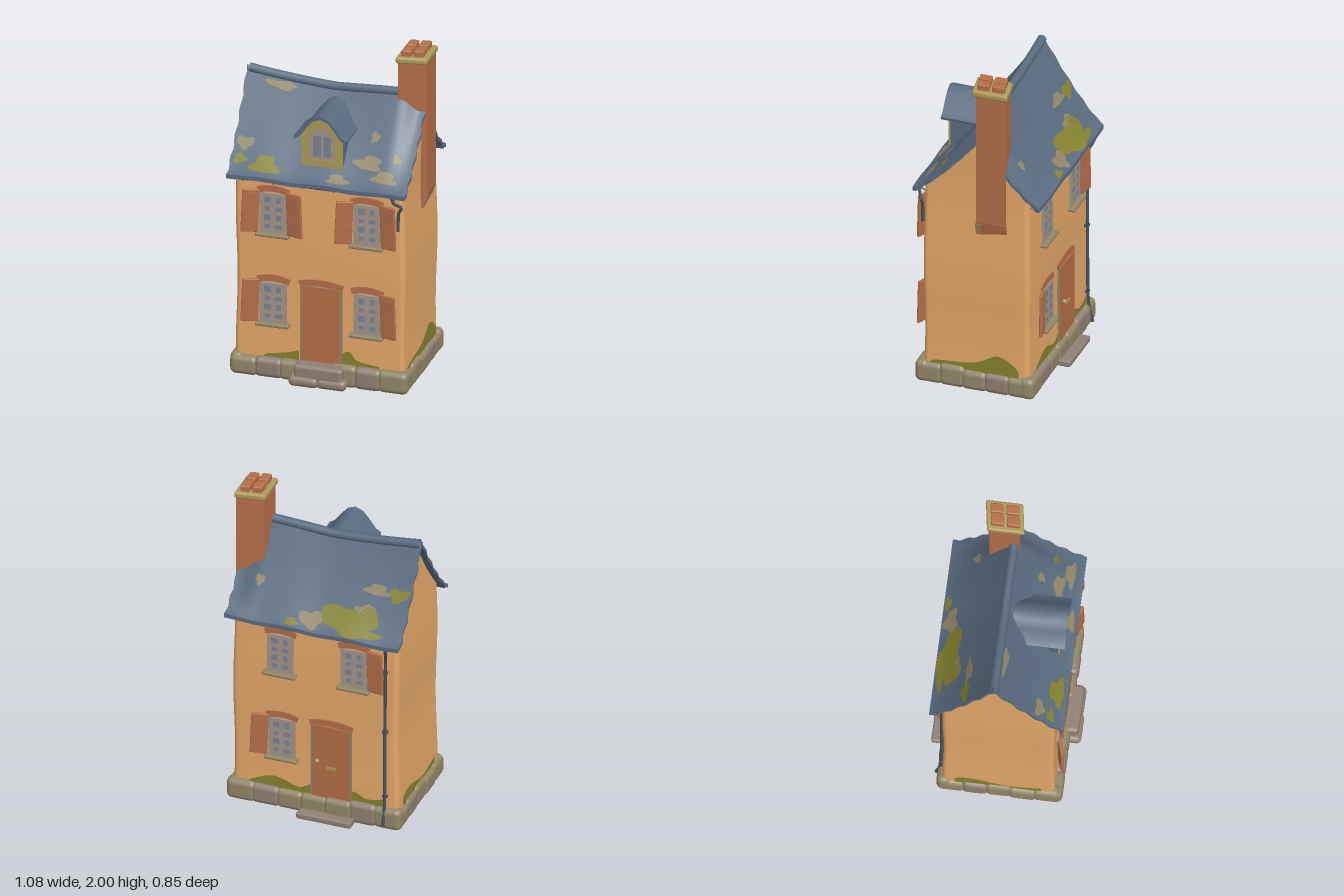
import * as THREE from 'three';
import { toCreasedNormals } from 'three/addons/utils/BufferGeometryUtils.js';
import { RoundedBoxGeometry } from 'three/addons/geometries/RoundedBoxGeometry.js';

const mat = (name, color) => Object.assign(new THREE.MeshStandardMaterial({ color, side: THREE.DoubleSide }), { name });
const M = {
  plaster: mat('plaster', 0xe4a768), slate: mat('slate', 0x5a6c80), terracotta: mat('terracotta', 0xb46e48),
  stone: mat('stone', 0x8f8073), moss: mat('moss', 0x85822f), lichen: mat('lichen', 0x918667),
  frame: mat('frame', 0xa2958a), glass: mat('glass', 0x7a8592), iron: mat('iron', 0x46525f),
  ochre: mat('ochre', 0xad9a58),
};

function add(parent, name, geo, material, x = 0, y = 0, z = 0) {
  const m = new THREE.Mesh(geo, material);
  m.name = name;
  m.position.set(x, y, z);
  parent.add(m);
  return m;
}
const box = (w, h, d) => new THREE.BoxGeometry(w, h, d);
const rbox = (w, h, d, r = 0.01) => new RoundedBoxGeometry(w, h, d, 3, r);
const tube = (pts, r, n = 24) => new THREE.TubeGeometry(
  new THREE.CatmullRomCurve3(pts.map(p => new THREE.Vector3(...p)), false, 'catmullrom', 0.2), n, r, 8);
const extrude = (shape, depth) => new THREE.ExtrudeGeometry(shape, { depth, bevelEnabled: false, curveSegments: 16 });

// Surface through rings of equal length; closed joins each ring, caps pairs its two halves
function loft(rings, closed, caps) {
  const n = rings[0].length, idx = [], last = (rings.length - 1) * n;
  for (let i = 0; i < rings.length - 1; i++)
    for (let j = 0; j < (closed ? n : n - 1); j++) {
      const a = i * n + j, d = i * n + (j + 1) % n;
      idx.push(a, a + n, d + n, a, d + n, d);
    }
  if (caps) for (let k = 0; k < n / 2 - 1; k++) {
    const q = [k, n - 1 - k, n - 2 - k, k + 1];
    idx.push(q[0], q[2], q[1], q[0], q[3], q[2]);
    idx.push(...[q[0], q[1], q[2], q[0], q[2], q[3]].map(v => v + last));
  }
  const g = new THREE.BufferGeometry();
  g.setAttribute('position', new THREE.Float32BufferAttribute(rings.flat(2), 3));
  g.setIndex(idx);
  g.computeVertexNormals();
  return g;
}

// Sagging roof: u runs from ridge (0) to eave (1)
const smooth = (a, b, x) => THREE.MathUtils.smoothstep(x, a, b);
const ridge = x => 1.722 + 0.048 * Math.pow(Math.max(0, -x / 0.53), 1.5)
  + 0.02 * smooth(0, 0.36, x) - 0.1 * smooth(0.38, 0.5, x);
function roofPoint(x, u, side, lift = 0) {
  const end = smooth(0.47, 0.53, Math.abs(x)) * 0.005 * Math.sin(u * 28 + side);
  return [x + end, 1.26 + (ridge(x) - 1.26) * Math.pow(1 - u, 1.25) + 0.004 * Math.sin(x * 17 + side) * u + lift,
    -0.03 + side * u * (side > 0 ? 0.4 : 0.37)];
}
function roof(g) {
  const rings = [], N = 24;
  for (let i = 0; i <= 48; i++) {
    const x = -0.538 + 1.062 * i / 48, top = [], under = [];
    for (let j = -N; j <= N; j++) {
      const s = j < 0 ? 1 : -1;
      top.push(roofPoint(x, Math.abs(j) / N, s));
      under.unshift(roofPoint(x, Math.abs(j) / N, s, -0.025));
    }
    rings.push([...top, ...under]);
  }
  add(g, 'roof', toCreasedNormals(loft(rings, true, true), 0.8), M.slate);
  const ridgeRun = xs => tube(xs.map(x => [x, ridge(x) - 0.014, -0.03]), 0.027, 32);
  add(g, 'ridgeTiles', ridgeRun([-0.3, -0.15, 0, 0.2, 0.38]), M.slate);
  add(g, 'weatheredRidgeTiles', ridgeRun([-0.525, -0.45, -0.38, -0.3]), M.slate);
  // irregular growth lying on the slopes: material, side, x, u, rx, ru
  [['moss', 1, -0.33, 0.85, 0.08, 0.1], ['moss', 1, -0.48, 0.8, 0.035, 0.05], ['moss', 1, 0.43, 0.6, 0.025, 0.04],
    ['lichen', 1, -0.47, 0.64, 0.05, 0.06], ['lichen', 1, -0.32, 0.1, 0.09, 0.035], ['lichen', 1, 0.27, 0.68, 0.08, 0.07],
    ['lichen', 1, 0.38, 0.82, 0.07, 0.07], ['lichen', 1, 0.11, 0.9, 0.06, 0.06], ['lichen', 1, 0.28, 0.43, 0.025, 0.05],
    ['moss', -1, -0.21, 0.79, 0.17, 0.17], ['moss', -1, -0.46, 0.47, 0.06, 0.06], ['moss', -1, -0.3, 0.9, 0.1, 0.07],
    ['moss', -1, 0.13, 0.93, 0.04, 0.05], ['lichen', -1, -0.33, 0.45, 0.07, 0.05], ['lichen', -1, -0.29, 0.66, 0.06, 0.06],
    ['lichen', -1, 0.02, 0.85, 0.07, 0.1], ['lichen', -1, 0.37, 0.56, 0.028, 0.05],
  ].forEach(([m, side, cx, cu, rx, ru], k) => {
    const blob = [];
    for (let i = 0; i <= 6; i++) blob.push(Array.from({ length: 28 }, (_, j) => {
      const a = j / 28 * Math.PI * 2, r = i / 6 * (1 + 0.2 * Math.sin(3 * a + k) + 0.12 * Math.sin(5 * a + 2 * k));
      return roofPoint(cx + rx * r * Math.cos(a), THREE.MathUtils.clamp(cu + ru * r * Math.sin(a), 0, 0.995), side, 0.005);
    }));
    add(g, m + 'Patch', loft(blob, true), M[m]);
  });
}

// Softly uneven plaster shell, open below, rising to the gables
function walls(g) {
  const rings = [], plan = [], r = 0.03, X = 0.503, F = 0.312, B = -0.328;
  const corner = (cx, cz, a0) => { for (let k = 0; k <= 6; k++) {
    const a = a0 + k / 6 * Math.PI / 2; plan.push([cx + r * Math.cos(a), cz + r * Math.sin(a)]); } };
  const run = (x0, z0, x1, z1) => { for (let k = 1; k < 16; k++) plan.push([x0 + (x1 - x0) * k / 16, z0 + (z1 - z0) * k / 16]); };
  run(X, B + r, X, F - r); corner(X - r, F - r, 0);
  run(X - r, F, -X + r, F); corner(-X + r, F - r, Math.PI / 2);
  run(-X, F - r, -X, B + r); corner(-X + r, B + r, Math.PI);
  run(-X + r, B, X - r, B); corner(X - r, B + r, Math.PI * 1.5);
  for (let i = 0; i <= 24; i++) rings.push(plan.map(([x, z]) => {
    const s = z > -0.03 ? 1 : -1, u = (z + 0.03) * s / (s > 0 ? 0.4 : 0.37);
    const y = 0.08 + (roofPoint(x, u, s, -0.012)[1] - 0.08) * i / 24;
    const k = 1 + 0.009 * Math.sin(y * 7 + 1.5 + x * 2);
    return [x * k, y, z * k];
  }));
  add(g, 'walls', loft(rings, true), M.plaster);
}

// Flat segmental arch over an opening
function lintel(f, x, y, w) {
  const s = new THREE.Shape();
  s.moveTo(-w / 2, 0); s.quadraticCurveTo(0, 0.03, w / 2, 0); s.lineTo(w / 2 + 0.01, 0.035);
  s.quadraticCurveTo(0, 0.072, -w / 2 - 0.01, 0.035);
  add(f, 'lintel', extrude(s, 0.022), M.terracotta, x, y, -0.014);
}
function shutter(f, x, y, h, side, open) {
  const p = new THREE.Group();
  p.name = 'shutter';
  p.position.set(x, y, 0.012);
  p.rotation.set(0, -side * open, side * 0.04);
  add(p, 'shutterBoard', rbox(0.1, h, 0.018, 0.005), M.terracotta, side * 0.05);
  for (const k of [-1, 1]) add(p, 'shutterPanel', box(0.065, h * 0.4, 0.008), M.terracotta, side * 0.05, k * h * 0.23, 0.008);
  f.add(p);
}
function windowUnit(f, x, y, sides, open = 0.32) {
  const w = 0.16, h = 0.25;
  add(f, 'windowFrame', box(w, h, 0.04), M.frame, x, y + h / 2, -0.008);
  for (let i = 0; i < 2; i++) for (let j = 0; j < 4; j++) // worn, uneven panes
    add(f, 'windowPane', box(0.028 + 0.012 * ((i + j) % 2), 0.026 + 0.01 * (j % 2), 0.004), M.glass,
      x + (i - 0.5) * 0.066, y + 0.045 + j * 0.055, 0.011);
  add(f, 'windowSill', rbox(0.2, 0.022, 0.06, 0.008), M.lichen, x, y - 0.005, 0.012);
  lintel(f, x, y + h - 0.005, 0.18);
  for (const s of sides) shutter(f, x + s * 0.084, y + h / 2 + 0.01, 0.265, s, open);
}
function door(f, x) {
  add(f, 'doorFrame', box(0.25, 0.48, 0.03), M.lichen, x, 0.36, -0.005);
  add(f, 'door', box(0.225, 0.475, 0.04), M.terracotta, x, 0.3625, -0.006);
  lintel(f, x, 0.59, 0.25);
}
// Low growth climbing the wall: list of [x, height]
function wallMoss(f, tops) {
  const s = new THREE.Shape();
  s.moveTo(tops[0][0], 0.1);
  s.splineThru(tops.map(p => new THREE.Vector2(...p)));
  s.lineTo(tops[tops.length - 1][0], 0.1);
  add(f, 'wallMoss', new THREE.ShapeGeometry(s), M.moss, 0, 0, 0.007);
}

function dormer(g) {
  const arch = (w, y0, y1, top) => {
    const s = new THREE.Shape();
    s.moveTo(-w, y0); s.lineTo(w, y0); s.lineTo(w, y1); s.quadraticCurveTo(w * 0.7, top, 0, top);
    s.quadraticCurveTo(-w * 0.7, top, -w, y1);
    return s;
  };
  const d = new THREE.Group();
  d.name = 'dormer'; d.position.x = 0.008;
  add(d, 'dormerCheeks', extrude(arch(0.118, 1.35, 1.54, 1.64), 0.24), M.slate, 0, 0, 0.045);
  const face = arch(0.122, 1.345, 1.54, 1.645), opening = arch(0.076, 1.385, 1.51, 1.585);
  face.holes.push(opening);
  add(d, 'dormerFace', extrude(face, 0.009), M.ochre, 0, 0, 0.286);
  add(d, 'dormerFrame', extrude(opening, 0.003), M.frame, 0, 0, 0.286);
  for (const k of [-1, 1]) add(d, 'dormerPane', box(0.046, 0.13, 0.004), M.glass, k * 0.03, 1.47, 0.289);
  const top = [[-0.157, 1.53], [-0.125, 1.55], [-0.085, 1.605], [-0.045, 1.65], [0, 1.667]];
  const over = [...top, ...top.slice(0, 4).reverse().map(p => [-p[0], p[1]])];
  const rings = [-0.02, 0.1, 0.22, 0.33].map((z, i) => [...over.map(p => [p[0], p[1] + 0.002 * i, z]),
    ...[...over].reverse().map(p => [p[0] * 0.97, p[1] - 0.012, z])]);
  add(d, 'dormerRoof', toCreasedNormals(loft(rings, true, true), 0.8), M.slate);
  g.add(d);
}

function chimney(g) {
  const c = new THREE.Group();
  c.name = 'chimney';
  const skew = geo => { // follows the slightly turned stack
    const p = geo.attributes.position;
    for (let i = 0; i < p.count; i++) p.setZ(i, p.getZ(i) - 0.16 * p.getX(i));
    geo.computeVertexNormals();
    return geo;
  };
  add(c, 'stack', skew(box(0.163, 0.83, 0.175)), M.terracotta, 0.4515, 1.525, -0.095);
  // corbelled foot, leaning back into the gable and rising to the rear
  const foot = skew(box(0.166, 0.09, 0.18)), p = foot.attributes.position;
  for (let i = 0; i < p.count; i++) if (p.getY(i) < 0) {
    p.setX(i, p.getX(i) - 0.018);
    if (p.getZ(i) < 0) p.setY(i, p.getY(i) + 0.03);
  }
  foot.computeVertexNormals();
  add(c, 'stackFoot', foot, M.terracotta, 0.4515, 1.068, -0.095);
  add(c, 'footStain', box(0.006, 0.06, 0.035), M.lichen, 0.526, 1.07, -0.032).rotation.z = -0.2;
  add(c, 'cap', skew(rbox(0.18, 0.038, 0.215, 0.012)), M.ochre, 0.452, 1.945, -0.09);
  for (const i of [-1, 1]) for (const j of [-1, 1])
    add(c, 'chimneyPot', skew(rbox(0.055, 0.07, 0.075, 0.008)), M.terracotta, 0.452 + i * 0.035, 1.965, -0.09 - i * 0.006 + j * 0.046);
  g.add(c);
}

function foundation(g) {
  let seed = 7;
  const rnd = () => (seed = (seed * 16807) % 2147483647) / 2147483647 - 0.5;
  const row = (n, len, place) => {
    for (let i = 0; i < n; i++) {
      const h = 0.13 + rnd() * 0.025, w = len / n;
      const [x, z, along] = place(-len / 2 + w * (i + 0.5));
      const d = 0.085 + rnd() * 0.015, L = w + 0.025 + rnd() * 0.02;
      add(g, 'foundationStone', along ? rbox(d, h, L, 0.034) : rbox(L, h, d, 0.034), i % 4 === 1 ? M.stone : M.lichen, x, h / 2 + 0.004, z);
    }
  };
  row(7, 1.035, t => [t, 0.315, false]);
  row(7, 1.035, t => [t, -0.322, false]);
  for (const s of [-1, 1]) row(5, 0.68, t => [s * 0.49, t - 0.004, true]);
  // doorsteps
  add(g, 'frontStep', rbox(0.18, 0.065, 0.14, 0.03), M.stone, -0.07, 0.035, 0.352);
  add(g, 'frontStep', rbox(0.18, 0.065, 0.13, 0.03), M.stone, 0.093, 0.035, 0.35);
  add(g, 'frontTread', rbox(0.29, 0.09, 0.12, 0.022), M.stone, 0.015, 0.09, 0.345);
  add(g, 'backStep', rbox(0.335, 0.04, 0.12, 0.012), M.stone, -0.085, 0.022, -0.365);
}

function gutters(g) {
  for (const [z, n] of [[0.355, 'frontGutter'], [-0.385, 'backGutter']]) {
    add(g, n, tube([[-0.53, 1.248, z], [0, 1.242, z], [0.52, 1.248, z]], 0.014), M.iron);
    for (let i = 0; i < 6; i++)
      add(g, 'gutterBracket', tube([[-0.45 + i * 0.18, 1.225, z * 0.97], [-0.45 + i * 0.18, 1.21, z * 0.88], [-0.45 + i * 0.18, 1.24, z * 0.8]], 0.005, 8), M.iron);
  }
  add(g, 'brokenDownpipe', tube([[0.44, 1.24, 0.355], [0.455, 1.2, 0.35], [0.495, 1.17, 0.325], [0.475, 1.13, 0.325], [0.472, 1.02, 0.325]], 0.009), M.iron);
  add(g, 'downpipe', tube([[-0.45, 1.24, -0.385], [-0.445, 1.19, -0.37], [-0.435, 1.12, -0.342], [-0.43, 0.6, -0.34], [-0.43, 0.16, -0.345], [-0.43, 0.03, -0.372]], 0.01, 40), M.iron);
  for (const y of [0.22, 0.65, 1.05]) add(g, 'pipeClip', box(0.03, 0.014, 0.025), M.iron, -0.431, y, -0.338);
}

export function createModel() {
  const g = new THREE.Group();
  g.name = 'cottage';
  walls(g); roof(g); dormer(g); chimney(g); foundation(g); gutters(g);
  // each facade has its own frame with +z facing outwards
  const facade = (name, x, z, turn) => {
    const f = new THREE.Group();
    f.name = name; f.position.set(x, 0, z); f.rotation.y = turn;
    g.add(f);
    return f;
  };
  const front = facade('frontFacade', 0, 0.312, 0), back = facade('backFacade', 0, -0.327, Math.PI);
  windowUnit(front, -0.275, 0.9, [-1, 1]);
  windowUnit(front, 0.285, 0.9, [-1, 1]);
  windowUnit(front, -0.275, 0.34, [-1]);
  windowUnit(front, 0.285, 0.34, [1]);
  door(front, 0.01);
  wallMoss(front, [[-0.32, 0.14], [-0.2, 0.165], [-0.12, 0.19]]);
  wallMoss(front, [[0.13, 0.19], [0.18, 0.22], [0.23, 0.17], [0.36, 0.15]]);
  windowUnit(back, -0.21, 0.9, []);
  windowUnit(back, 0.24, 0.9, [1], 0.18);
  windowUnit(back, -0.2, 0.34, [-1], 0.18);
  door(back, 0.1);
  add(back, 'doorKnob', new THREE.SphereGeometry(0.014, 12, 8), M.ochre, 0.02, 0.37, 0.025);
  add(back, 'letterPlate', box(0.06, 0.018, 0.006), M.ochre, 0.1, 0.33, 0.016);
  wallMoss(back, [[-0.4, 0.14], [-0.25, 0.2], [-0.1, 0.16], [-0.02, 0.2]]);
  wallMoss(back, [[0.23, 0.2], [0.32, 0.17], [0.42, 0.19]]);
  wallMoss(facade('rightFacade', 0.503, 0, Math.PI / 2), [[-0.25, 0.15], [0.0, 0.18], [0.14, 0.245], [0.24, 0.2], [0.27, 0.16]]);
  wallMoss(facade('leftFacade', -0.503, 0, -Math.PI / 2), [[-0.25, 0.18], [-0.15, 0.2], [0.05, 0.15], [0.24, 0.17]]);
  return g;
}
